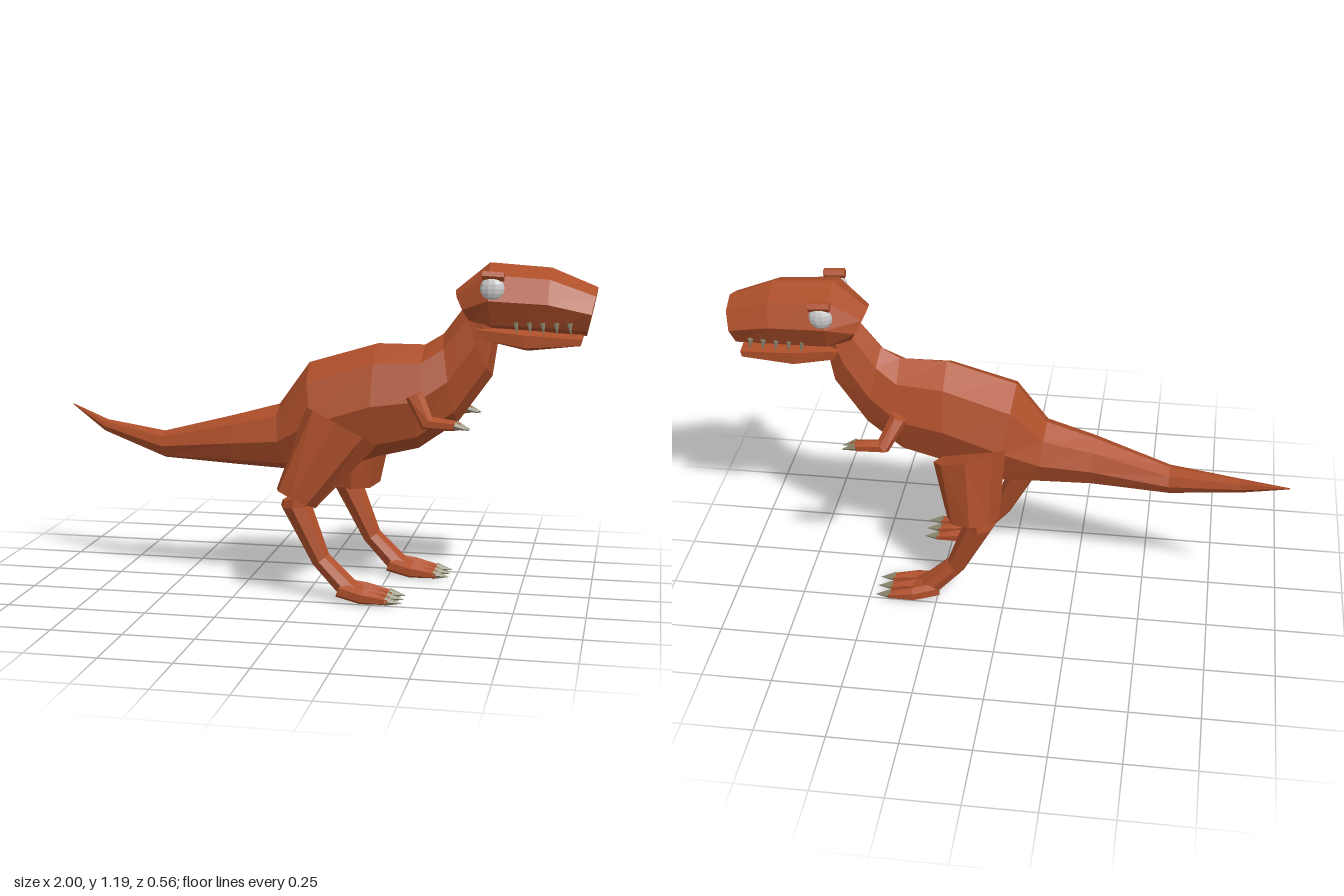
import * as THREE from 'three';

const mat = (color) => new THREE.MeshStandardMaterial({ color, flatShading: true });
const skin = mat(0xae4f2a);
const horn = mat(0x8f8a70);
const grey = mat(0xcccccc);

// Skins rings along a limb. Each ring: [x1, y1, x2, y2, halfWidth, z, sideTilt],
// where point 1 and point 2 are its upper (or front) and lower (or back) ends.
function loft(name, rings, sides = 8) {
  const pos = [], index = [];
  rings.forEach(([x1, y1, x2, y2, w, z = 0, tilt = 0]) => {
    const cx = (x1 + x2) / 2, cy = (y1 + y2) / 2;
    for (let j = 0; j < sides; j++) {
      const a = (j / sides) * Math.PI * 2, c = Math.cos(a), s = Math.sin(a);
      pos.push(cx + c * (x1 - cx), cy + c * (y1 - cy) + s * tilt, z + s * w);
    }
  });
  const last = (rings.length - 1) * sides;
  for (let i = 0; i < last; i += sides) {
    for (let j = 0; j < sides; j++) {
      const k = (j + 1) % sides;
      index.push(i + j, i + k, i + sides + j, i + k, i + sides + k, i + sides + j);
    }
  }
  for (let j = 1; j < sides - 1; j++) {
    index.push(0, j + 1, j, last, last + j, last + j + 1);
  }
  const g = new THREE.BufferGeometry();
  g.setAttribute('position', new THREE.Float32BufferAttribute(pos, 3));
  g.setIndex(index);
  const flat = g.toNonIndexed();
  flat.computeVertexNormals();
  const mesh = new THREE.Mesh(flat, skin);
  mesh.name = name;
  return mesh;
}

// Cone from a base point to a tip
function spike(name, from, to, radius) {
  const a = new THREE.Vector3(...from), b = new THREE.Vector3(...to);
  const dir = b.clone().sub(a);
  const mesh = new THREE.Mesh(new THREE.ConeGeometry(radius, dir.length(), 6), horn);
  mesh.position.copy(a).add(b).multiplyScalar(0.5);
  mesh.quaternion.setFromUnitVectors(new THREE.Vector3(0, 1, 0), dir.normalize());
  mesh.name = name;
  return mesh;
}

function makeHead() {
  const head = new THREE.Group();
  head.name = 'head';
  head.add(loft('skull', [
    [0.505, 1.1, 0.57, 0.98, 0.085],
    [0.625, 1.2, 0.64, 0.955, 0.14],
    [0.84, 1.185, 0.83, 0.95, 0.13],
    [1.0, 1.12, 0.965, 0.95, 0.11],
  ]));
  head.add(loft('lowerJaw', [
    [0.58, 0.99, 0.63, 0.92, 0.11],
    [0.76, 0.98, 0.76, 0.892, 0.12],
    [0.955, 0.957, 0.945, 0.915, 0.11],
  ], 6));
  for (const s of [1, -1]) {
    const eye = new THREE.Mesh(new THREE.SphereGeometry(0.042, 10, 8), grey);
    eye.scale.z = 0.55;
    eye.position.set(0.645, 1.12, s * 0.126);
    eye.name = 'eye';
    const brow = new THREE.Mesh(new THREE.CylinderGeometry(0.018, 0.018, 0.075, 6), skin);
    brow.rotation.z = Math.PI / 2 - 0.05;
    brow.position.set(0.648, 1.163, s * 0.125);
    brow.name = 'brow';
    head.add(eye, brow);
    for (let i = 0; i < 5; i++) {
      const x = 0.725 + i * 0.046;
      head.add(spike('tooth', [x, 1.003, s * 0.098], [x + 0.006, 0.96, s * 0.1], 0.01));
    }
  }
  return head;
}

function makeArm(s) {
  const arm = new THREE.Group();
  arm.name = s > 0 ? 'leftArm' : 'rightArm';
  const z = s > 0 ? 0.175 : -0.19;
  arm.add(loft('armLimb', [
    [0.41, 0.755, 0.35, 0.73, 0.03, s * 0.13],
    [0.45, 0.675, 0.415, 0.63, 0.028, z],
    [0.53, 0.665, 0.52, 0.628, 0.027, z],
    [0.55, 0.655, 0.545, 0.632, 0.02, z],
  ], 6));
  for (const d of [-0.014, 0.014]) {
    arm.add(spike('handClaw', [0.53, 0.65, z + d], [0.585, 0.633, z + d], 0.015));
  }
  return arm;
}

// Thigh, shin and three-toed foot; dx moves the stride forward
function makeLeg(s, thigh, dx) {
  const leg = new THREE.Group();
  leg.name = s > 0 ? 'leftLeg' : 'rightLeg';
  const z = s * 0.19;
  leg.add(loft('thigh', thigh));
  leg.add(loft('shin', [
    [0.03, 0.4, -0.08, 0.36, 0.07, s * 0.185],
    [0.025, 0.35, -0.085, 0.34, 0.07, s * 0.187],
    [0.09, 0.17, 0.03, 0.13, 0.042, z],
    [0.19, 0.075, 0.125, 0.025, 0.05, z],
    [0.22, 0.055, 0.2, 0.015, 0.05, z],
  ].map(([a, b, c, ...r]) => [a + dx, b, c + dx, ...r])));
  for (const k of [-1, 0, 1]) {
    const z0 = z + k * 0.035, z1 = z + k * 0.052;
    leg.add(loft('toe', [
      [0.14 + dx, 0.075, 0.12 + dx, 0.025, 0.024, z0],
      [0.22 + dx, 0.06, 0.21 + dx, 0.008, 0.026, z1],
      [0.31 + dx, 0.036, 0.31 + dx, 0.01, 0.018, z1],
    ], 6));
    leg.add(spike('toeClaw', [0.3 + dx, 0.025, z1], [0.36 + dx, 0.018, z1], 0.018));
  }
  return leg;
}

export function createModel() {
  const model = new THREE.Group();
  model.name = 'dinosaur';

  // Tail, trunk and neck in one skin; the tail swings to one side
  model.add(loft('body', [
    [-1.0, 0.612, -1.0, 0.608, 0.002, -0.21],
    [-0.83, 0.57, -0.84, 0.525, 0.028, -0.122],
    [-0.58, 0.55, -0.58, 0.45, 0.055, -0.043],
    [-0.3, 0.627, -0.3, 0.443, 0.088, -0.003],
    [-0.13, 0.675, -0.1, 0.435, 0.112, 0.005],
    [-0.02, 0.83, 0.05, 0.432, 0.16, 0],
    [0.23, 0.905, 0.22, 0.49, 0.15, 0],
    [0.4, 0.905, 0.38, 0.53, 0.13, 0],
    [0.465, 0.945, 0.52, 0.63, 0.1, 0],
    [0.535, 1.04, 0.64, 0.8, 0.085, 0],
    [0.58, 1.1, 0.66, 0.94, 0.08, 0],
  ]));
  model.add(makeHead());
  for (const s of [1, -1]) model.add(makeArm(s));

  model.add(makeLeg(1, [
    [0.25, 0.56, 0.0, 0.69, 0.095, 0.155, 0.03],
    [0.04, 0.335, -0.1, 0.4, 0.092, 0.19, 0.02],
  ], 0));
  model.add(makeLeg(-1, [
    [0.26, 0.58, 0.0, 0.65, 0.095, -0.16, -0.03],
    [0.21, 0.36, 0.02, 0.37, 0.093, -0.188, -0.02],
  ], 0.12));
  return model;
}
